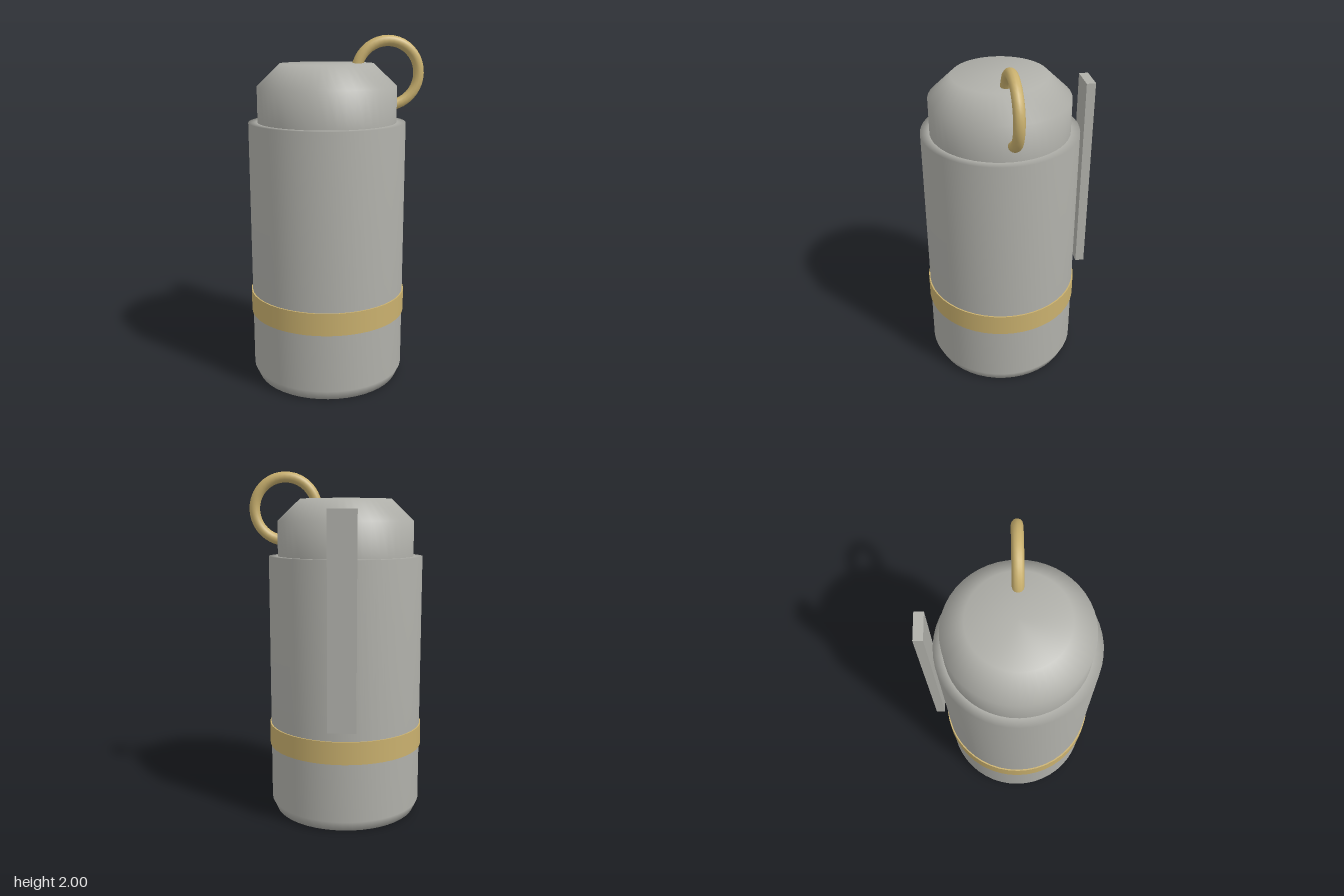
import * as THREE from 'three';

const CX = -0.055, CZ = 0.03; // axis of the canister
const SEGMENTS = 48;

export function createModel() {
  const model = new THREE.Group();
  model.name = 'canister';

  const greyMetal = new THREE.MeshStandardMaterial({ color: 0xb0b0aa });
  greyMetal.name = 'greyMetal';
  const brass = new THREE.MeshStandardMaterial({ color: 0xc9b06e });
  brass.name = 'brass';

  const add = (name, geometry, material, x, y, z) => {
    const mesh = new THREE.Mesh(geometry, material);
    mesh.name = name;
    mesh.position.set(x, y, z);
    model.add(mesh);
  };
  const lathe = (points) =>
    new THREE.LatheGeometry(points.map(([r, y]) => new THREE.Vector2(r, y)), SEGMENTS);

  // Main cylinder with a bevelled foot and a flat shoulder
  add('body', lathe([[0, 0], [0.42, 0], [0.447, 0.06], [0.447, 1.52], [0.39, 1.52], [0, 1.52]]),
    greyMetal, CX, 0, CZ);

  // Softly shaded cap with a sloping top edge
  add('cap', lathe([[0.395, 1.515], [0.395, 1.72], [0.265, 1.845], [0, 1.845]]),
    greyMetal, CX, 0, CZ);

  // Band around the lower body
  add('band', new THREE.CylinderGeometry(0.455, 0.455, 0.13, SEGMENTS), brass, CX, 0.465, CZ);

  // Pull ring passing through the cap's edge
  add('pullRing', new THREE.TorusGeometry(0.181, 0.031, 12, 40), brass, 0.293, 1.788, CZ);

  // Lever standing off the back
  add('lever', new THREE.BoxGeometry(0.157, 1.185, 0.052), greyMetal, -0.053, 1.192, -0.459);

  return model;
}
